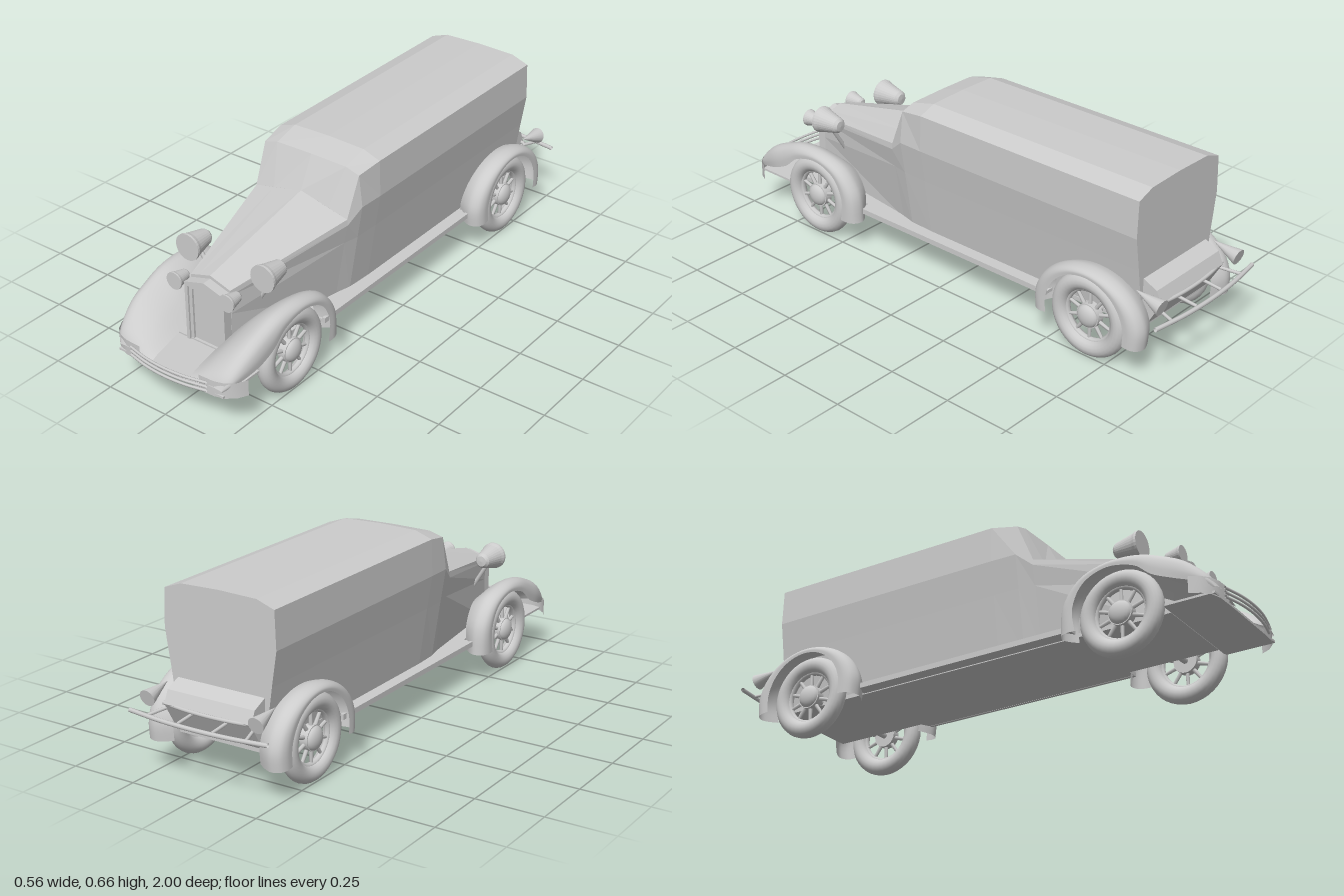
import * as THREE from 'three';

const smooth = new THREE.MeshStandardMaterial({ color: 0xcccccc, side: THREE.DoubleSide });
const flat = new THREE.MeshStandardMaterial({ color: 0xcccccc, side: THREE.DoubleSide, flatShading: true });
const V = (x, y, z) => new THREE.Vector3(x, y, z);

function add(parent, name, geo, mat = smooth, x = 0, y = 0, z = 0) {
  const m = new THREE.Mesh(geo, mat);
  m.name = name;
  m.position.set(x, y, z);
  parent.add(m);
  return m;
}

// Surface through rows of points; capped rows are closed with a fan
function loft(rows, caps = false) {
  const n = rows[0].length, pos = [], idx = [];
  rows.forEach(r => r.forEach(p => pos.push(p.x, p.y, p.z)));
  for (let i = 0; i < rows.length - 1; i++)
    for (let j = 0; j < (caps ? n : n - 1); j++) {
      const a = i * n + j, b = i * n + (j + 1) % n;
      idx.push(a, b, a + n, b, b + n, a + n);
    }
  if (caps) for (let j = 1; j < n - 1; j++) {
    const e = (rows.length - 1) * n;
    idx.push(0, j + 1, j, e, e + j, e + j + 1);
  }
  const g = new THREE.BufferGeometry();
  g.setAttribute('position', new THREE.Float32BufferAttribute(pos, 3));
  g.setIndex(idx);
  g.computeVertexNormals();
  return g;
}

// Full ring from a half profile of [x, y], centre top to bottom edge
function ring(z, half) {
  const left = half.map(([x, y]) => V(x, y, z));
  const right = half.slice(1).reverse().map(([x, y]) => V(-x, y, z));
  return [...left, ...right];
}

// Fender from stations [lipZ, lipY, crownZ, crownY, innerZ, innerY, outerX, innerX]
function fender(stations, steps) {
  const rows = [], last = stations.length - 1;
  const cat = (a, b, c, d, t) => 0.5 * (2 * b + (c - a) * t + (2 * a - 5 * b + 4 * c - d) * t * t + (3 * b - a - 3 * c + d) * t * t * t);
  for (let s = 0; s <= steps; s++) {
    const u = s / steps * last, i = Math.min(Math.floor(u), last - 1);
    const at = k => stations[Math.max(0, Math.min(last, k))];
    const [lz, ly, cz, cy, iz, iy, xo, xi] = at(i).map((_, k) => cat(at(i - 1)[k], at(i)[k], at(i + 1)[k], at(i + 2)[k], u - i));
    const mix = (x, f, z, y) => V(x, cy + (y - cy) * f, cz + (z - cz) * f);
    const curve = new THREE.CatmullRomCurve3([
      mix(xo, 1, lz, ly), mix(xo, 0.55, lz, ly), mix(xo - 0.012, 0.17, lz, ly), mix(xo - 0.042, 0, lz, ly),
      mix((xo - 0.042 + xi) / 2, 0.35, iz, iy), mix(xi, 1, iz, iy)]);
    rows.push(curve.getPoints(16));
  }
  return loft(rows);
}

// Bowed bar through left tip, centre and right tip
function bar(halfWidth, y, zTip, zMid, r) {
  const pts = [-1, -0.5, 0, 0.5, 1].map(t => V(t * halfWidth, y, zMid + (zTip - zMid) * t * t));
  return new THREE.TubeGeometry(new THREE.CatmullRomCurve3(pts), 24, r, 8);
}

function wheel(name, x, z, side) {
  const g = new THREE.Group();
  g.name = name;
  g.position.set(x, 0.155, z);
  const spin = Math.PI / 2;
  add(g, 'tyre', new THREE.TorusGeometry(0.124, 0.031, 16, 40)).rotation.y = spin;
  add(g, 'rim', new THREE.TorusGeometry(0.098, 0.012, 8, 32)).rotation.y = spin;
  add(g, 'hub', new THREE.CylinderGeometry(0.045, 0.045, 0.03, 24)).rotation.z = spin;
  add(g, 'hubCap', new THREE.SphereGeometry(0.042, 20, 12), smooth, side * 0.012).scale.x = 0.55;
  for (let i = 0; i < 10; i++) {
    const a = i / 10 * Math.PI * 2;
    const s = add(g, 'spoke', new THREE.CylinderGeometry(0.006, 0.008, 0.07, 6), smooth, 0, Math.cos(a) * 0.068, Math.sin(a) * 0.068);
    s.rotation.x = a;
  }
  return g;
}

// Pointed-top grille panel
function grillePanel(w, shoulder, peak, depth, inner) {
  const outline = (p, hw, sh, pk, base) => {
    p.moveTo(-hw, base); p.lineTo(hw, base); p.lineTo(hw, sh); p.lineTo(0, pk); p.lineTo(-hw, sh); p.closePath();
    return p;
  };
  const shape = outline(new THREE.Shape(), w, shoulder, peak, 0.145);
  if (inner) shape.holes.push(outline(new THREE.Path(), w - inner, shoulder - inner, peak - inner, 0.147));
  return new THREE.ExtrudeGeometry(shape, { depth, bevelEnabled: false });
}

export function createModel() {
  const car = new THREE.Group();
  car.name = 'vintageCar';

  // Cabin and tapering hood
  const box = [[0, 0.663], [0.15, 0.659], [0.218, 0.635], [0.223, 0.5], [0.203, 0.375], [0.17, 0.145]];
  const shieldTop = [[0, 0.636], [0.15, 0.634], [0.205, 0.618], [0.22, 0.5], [0.2, 0.375], [0.165, 0.145]];
  const cowl = [[0, 0.518], [0.12, 0.49], [0.2, 0.472], [0.203, 0.45], [0.188, 0.375], [0.15, 0.145]];
  const nose = [[0, 0.415], [0.05, 0.4], [0.085, 0.389], [0.086, 0.37], [0.086, 0.3], [0.086, 0.145]];
  add(car, 'cabin', loft([ring(-0.84, box), ring(0.11, box), ring(0.21, shieldTop), ring(0.27, cowl)], true), flat);
  add(car, 'hood', loft([ring(0.27, cowl), ring(0.75, nose)], true), flat);

  // Grille
  add(car, 'grilleFrame', grillePanel(0.085, 0.378, 0.403, 0.035, 0.013), flat, 0, 0, 0.75);
  add(car, 'grilleInnerFrame', grillePanel(0.072, 0.368, 0.391, 0.03, 0.013), flat, 0, 0, 0.748);
  add(car, 'grille', grillePanel(0.062, 0.357, 0.38, 0.022), flat, 0, 0, 0.748);

  // Floor and front apron
  add(car, 'floor', new THREE.BoxGeometry(0.35, 0.015, 1.62), flat, 0, 0.15, -0.03);
  add(car, 'frontApron', new THREE.BoxGeometry(0.456, 0.008, 0.185), flat, 0, 0.148, 0.872);

  // Sloping pan behind the cabin
  const pan = new THREE.Shape([[0.82, 0.145], [0.86, 0.17], [0.915, 0.265], [0.895, 0.31], [0.84, 0.335], [0.82, 0.335]].map(p => new THREE.Vector2(...p)));
  const panMesh = add(car, 'rearPan', new THREE.ExtrudeGeometry(pan, { depth: 0.35, bevelEnabled: false }), flat, -0.175, 0, 0);
  panMesh.rotation.y = Math.PI / 2;

  // Bumpers
  [0.154, 0.17, 0.186].forEach(y => add(car, 'frontBumperBar', bar(0.165, y, 0.972, 0.995, 0.005)));
  add(car, 'rearBumperBar', bar(0.277, 0.24, -0.967, -0.992, 0.008));
  add(car, 'rearBumperInnerBar', bar(0.19, 0.262, -0.9, -0.92, 0.007));

  // Stations of the two fender shapes
  const front = [
    [0.475, 0.115, 0.405, 0.115, 0.44, 0.115, 0.277, 0.185],
    [0.468, 0.2, 0.417, 0.225, 0.44, 0.21, 0.277, 0.18],
    [0.51, 0.28, 0.485, 0.31, 0.5, 0.28, 0.277, 0.17],
    [0.6, 0.315, 0.59, 0.345, 0.6, 0.285, 0.277, 0.15],
    [0.7, 0.295, 0.7, 0.345, 0.7, 0.25, 0.277, 0.11],
    [0.765, 0.245, 0.79, 0.318, 0.79, 0.21, 0.277, 0.085],
    [0.84, 0.212, 0.87, 0.28, 0.87, 0.19, 0.272, 0.08],
    [0.925, 0.185, 0.94, 0.22, 0.94, 0.17, 0.25, 0.08],
    [0.962, 0.165, 0.967, 0.175, 0.967, 0.155, 0.222, 0.08]];
  const rear = [];
  for (let i = 0; i <= 10; i++) {
    const a = (-12 + i * 20.4) * Math.PI / 180, c = Math.cos(a), s = Math.sin(a);
    rear.push([-0.675 + 0.165 * c, 0.155 + 0.163 * s, -0.675 + 0.228 * c, 0.155 + 0.19 * s,
      -0.675 + 0.2 * c, 0.155 + 0.17 * s, 0.277, 0.175]);
  }

  // Everything that comes in left and right pairs
  for (const side of [1, -1]) {
    const label = side > 0 ? 'left' : 'right';
    for (const [name, st] of [['FrontFender', front], ['RearFender', rear]])
      add(car, label + name, fender(st, 40)).scale.x = side;
    car.add(wheel(label + 'FrontWheel', side * 0.232, 0.63, side));
    car.add(wheel(label + 'RearWheel', side * 0.232, -0.67, side));

    // Running board with a raised strip
    add(car, label + 'RunningBoard', new THREE.BoxGeometry(0.07, 0.012, 0.9), flat, side * 0.19, 0.152, -0.02);
    add(car, label + 'RunningBoardStrip', new THREE.BoxGeometry(0.012, 0.02, 0.9), flat, side * 0.22, 0.155, -0.02);

    // Headlamps and smaller lamps, wide end forward
    for (const [name, x, y, z, r, len] of [['Headlamp', 0.163, 0.428, 0.627, 0.05, 0.105], ['SmallLamp', 0.113, 0.378, 0.772, 0.032, 0.065]]) {
      const lamp = new THREE.LatheGeometry([[0, -0.5], [0.4, -0.48], [0.58, -0.38], [0.9, 0.3], [1, 0.42], [1, 0.5], [0, 0.5]]
        .map(([a, b]) => new THREE.Vector2(a * r, b * len)), 28);
      add(car, label + name, lamp.toNonIndexed(), flat, side * x, y, z).rotation.x = Math.PI / 2;
    }
    const stalk = new THREE.LineCurve3(V(side * 0.163, 0.4, 0.62), V(side * 0.1, 0.3, 0.62));
    add(car, label + 'LampStalk', new THREE.TubeGeometry(stalk, 1, 0.008, 8));

    // Curved blade at each end of the front bumper
    const blade = [[0.13, 0.968], [0.19, 0.966], [0.228, 0.955], [0.258, 0.93], [0.277, 0.895]];
    add(car, label + 'BumperBlade', loft([0.14, 0.2].map(y => blade.map(([x, z]) => V(side * x, y, z)))));

    // Tail lamp and rear bumper bracket
    const tail = add(car, label + 'TailLamp', new THREE.ConeGeometry(0.03, 0.11, 16), smooth, side * 0.218, 0.3, -0.895);
    tail.rotation.x = Math.PI / 2 - 0.25;
    for (const [x0, x1] of [[0.07, 0.07], [0.17, 0.2]]) {
      const strut = new THREE.LineCurve3(V(side * x0, 0.25, -0.88), V(side * x1, 0.24, -0.982));
      add(car, label + 'BumperBracket', new THREE.TubeGeometry(strut, 1, 0.006, 8));
    }
  }

  // Axles
  for (const z of [0.63, -0.67])
    add(car, 'axle', new THREE.CylinderGeometry(0.012, 0.012, 0.46, 10), smooth, 0, 0.155, z).rotation.z = Math.PI / 2;

  return car;
}
